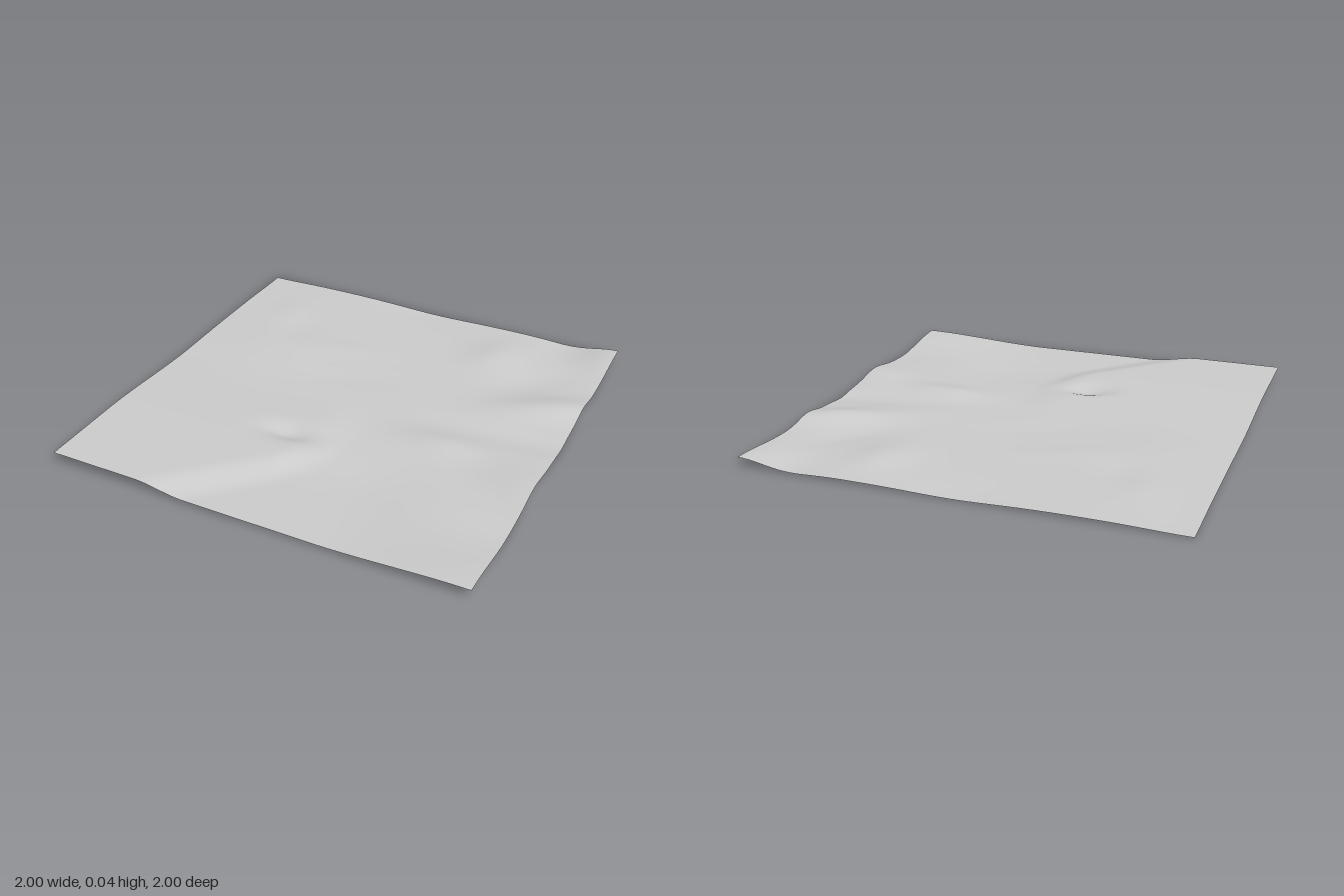
import * as THREE from 'three';

const smooth = (a, b, v) => {
  const t = Math.min(1, Math.max(0, (v - a) / (b - a)));
  return t * t * (3 - 2 * t);
};

// Rounded hills (positive) and hollows (negative): x, z, height, x spread, z spread, turn
const landforms = [
  [0.52, 0.13, 0.024, 0.2, 0.09, 0],       // ridge above the basin
  [0.98, 0.27, 0.03, 0.25, 0.13, 0.45],
  [0.35, 0.52, -0.012, 0.25, 0.2, 0],      // basin
  [1.0, 0.65, -0.006, 0.25, 0.15, 0.4],
  [0.9, -0.08, -0.012, 0.4, 0.08, -0.1],   // valley on the right
  [0.88, -0.37, 0.032, 0.28, 0.1, -0.4],   // hills at the back right
  [0.7, -0.56, -0.008, 0.2, 0.09, -0.7],
  [0.45, -0.72, 0.018, 0.13, 0.16, 0.5],
  [1.0, -1.0, 0.03, 0.15, 0.25, 0],
  [0.75, -0.95, -0.008, 0.12, 0.12, 0],
  [0.0, -1.0, -0.01, 0.25, 0.15, 0],
  [-0.15, 0.37, -0.03, 0.12, 0.06, -0.1],  // small pit
  [-0.65, -0.3, 0.01, 0.3, 0.3, 0],        // gentle ground at the back left
  [-1.0, -1.0, -0.01, 0.25, 0.25, 0],
  [-0.72, -0.68, 0.005, 0.1, 0.1, 0],
  [-0.58, -0.52, -0.005, 0.1, 0.1, 0],
  [-0.3, -0.42, 0.006, 0.22, 0.08, -0.3],
  [-0.1, -0.2, -0.004, 0.25, 0.08, -0.3],
];

function heightAt(x, z) {
  // Plateau at the front left, cut off by a diagonal bank
  let h = 0.022 + 0.032 * smooth(0.08, -0.1, (x + z - 0.57) / Math.SQRT2)
    * smooth(-0.1, 0.6, z) * smooth(0.15, -0.1, x);
  // Gentle rise to the front right corner
  h += 0.03 * smooth(0.3, 1, x) * smooth(0.6, 1, z);
  for (const [cx, cz, amount, sx, sz, turn] of landforms) {
    const c = Math.cos(turn), s = Math.sin(turn);
    const u = ((x - cx) * c + (z - cz) * s) / sx;
    const v = ((z - cz) * c - (x - cx) * s) / sz;
    h += amount * Math.exp(-u * u - v * v);
  }
  return Math.min(0.055, Math.max(0.003, h));
}

export function createModel() {
  const ground = new THREE.MeshStandardMaterial({ color: 0xcccccc, side: THREE.DoubleSide });
  ground.name = 'pale grey ground';

  // One thin sheet, raised by the height rule
  const geometry = new THREE.PlaneGeometry(2, 2, 80, 80).rotateX(-Math.PI / 2);
  const p = geometry.attributes.position;
  for (let i = 0; i < p.count; i++) p.setY(i, heightAt(p.getX(i), p.getZ(i)));
  geometry.computeBoundingBox();
  geometry.translate(0, -geometry.boundingBox.min.y, 0);
  geometry.computeVertexNormals();

  const terrain = new THREE.Mesh(geometry, ground);
  terrain.name = 'terrain';
  const model = new THREE.Group();
  model.name = 'terrainTile';
  model.add(terrain);
  return model;
}
